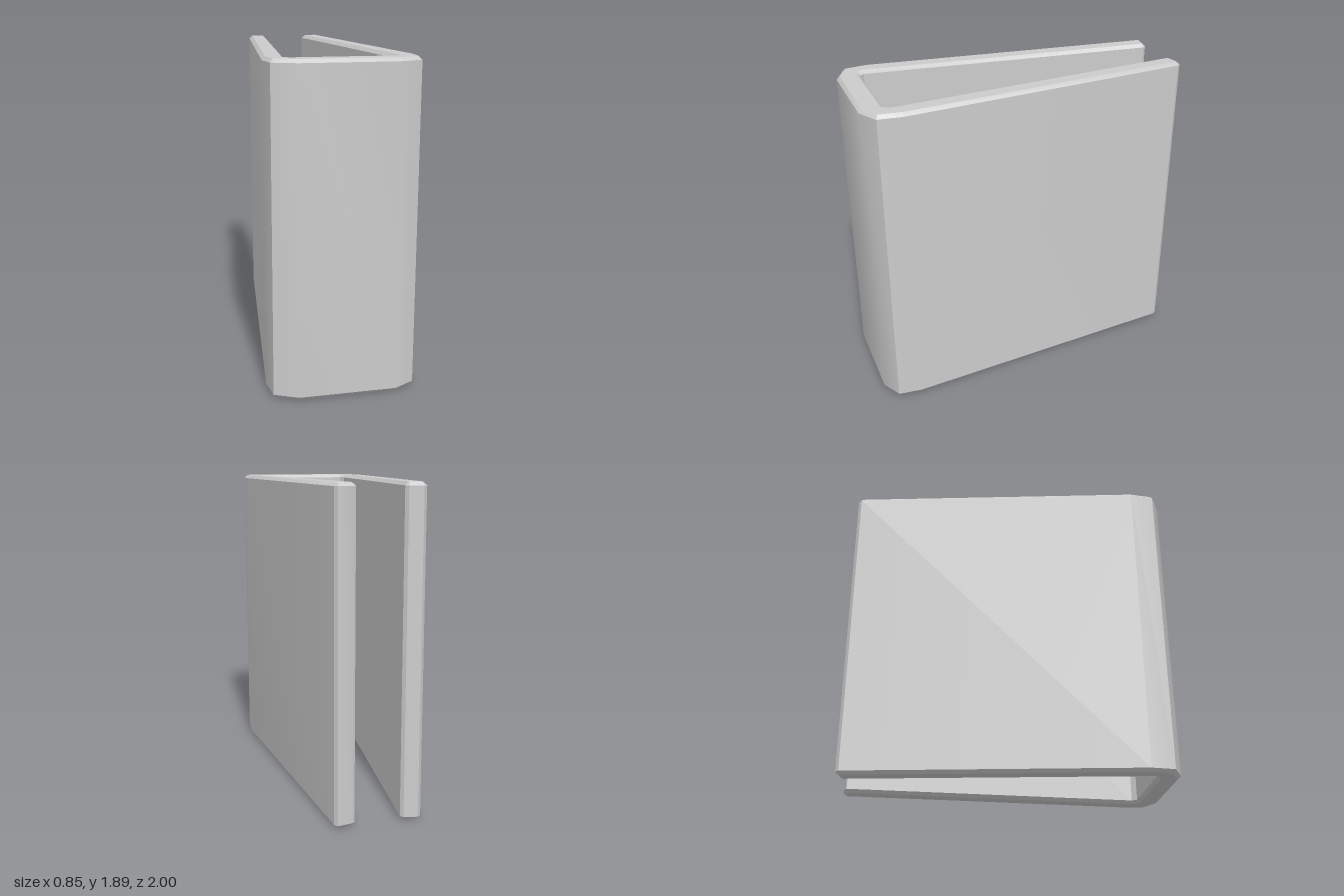
import * as THREE from 'three';
import { toCreasedNormals } from 'three/addons/utils/BufferGeometryUtils.js';

const HEIGHT = 1.89;
const BEVEL = 0.02;

// Plan outline of the clip as [x, z], running round the outside then back inside
const OUTLINE = [
  // right arm tip, then outer side and front corners
  [-0.12, -0.965], [-0.135, -0.985], [-0.215, -1.0], [-0.237, -0.98],
  [-0.425, 0.79], [-0.405, 0.935], [-0.27, 1.0],
  [0.29, 1.0], [0.41, 0.935], [0.425, 0.79],
  // left arm tip
  [0.27, -0.98], [0.255, -1.0], [0.17, -0.985], [0.15, -0.97],
  // inner corners
  [0.302, 0.83], [0.28, 0.86], [-0.285, 0.86], [-0.306, 0.83],
];

export function createModel() {
  const group = new THREE.Group();
  group.name = 'clip';

  const shape = new THREE.Shape(OUTLINE.map(([x, z]) => new THREE.Vector2(x, -z)));

  // Upright extrusion with a single chamfer on the top and bottom rims
  const solid = new THREE.ExtrudeGeometry(shape, {
    depth: HEIGHT - 2 * BEVEL,
    bevelEnabled: true,
    bevelThickness: BEVEL,
    bevelSize: BEVEL,
    bevelOffset: -BEVEL,
    bevelSegments: 1,
  });
  solid.rotateX(-Math.PI / 2);
  solid.translate(0, BEVEL, 0);

  const body = new THREE.Mesh(
    toCreasedNormals(solid, 0.5),
    new THREE.MeshStandardMaterial({ color: 0xcccccc })
  );
  body.name = 'foldedBody';
  group.add(body);
  return group;
}
